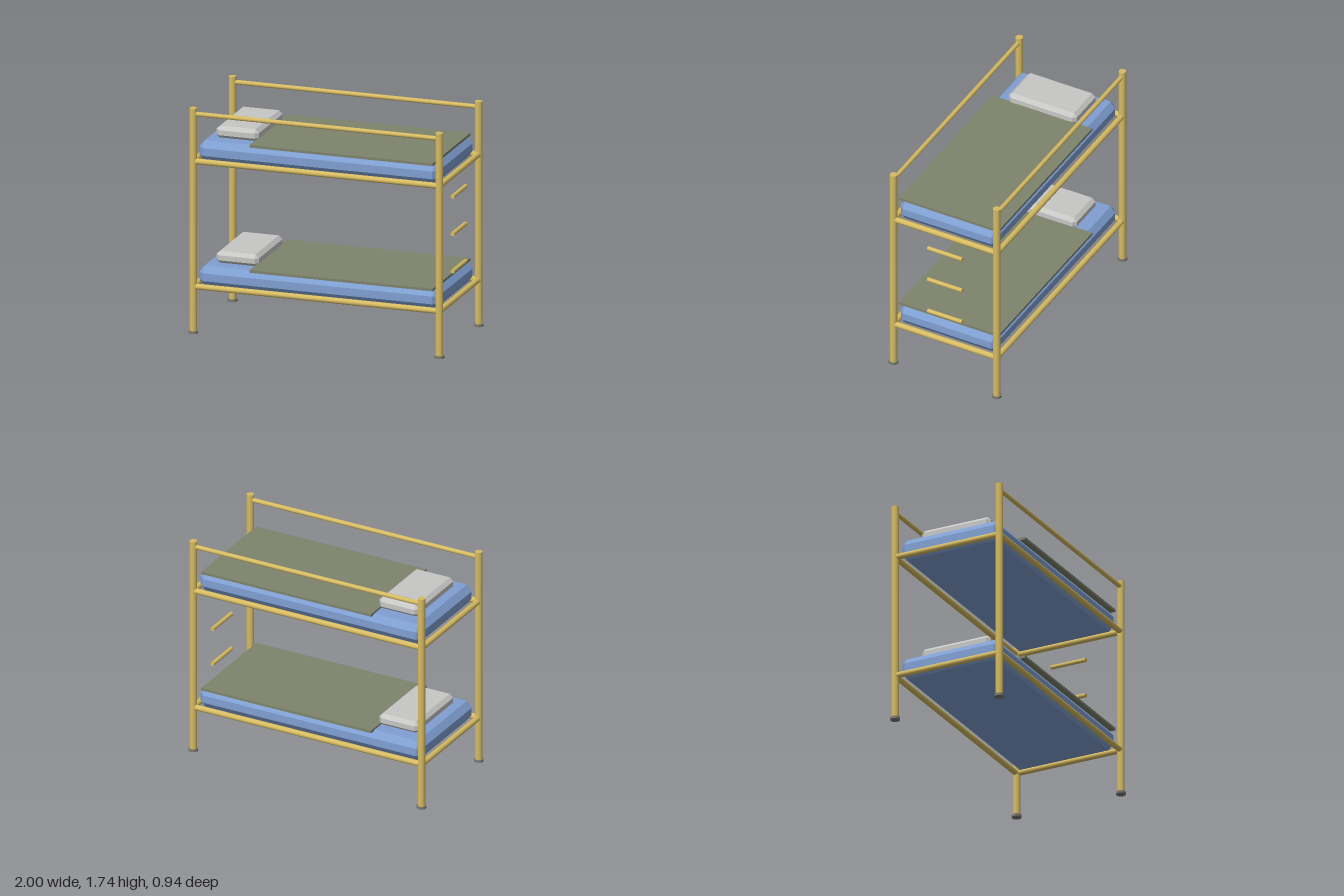
import * as THREE from 'three';
import { ConvexGeometry } from 'three/addons/geometries/ConvexGeometry.js';

const material = (name, color) => {
  const m = new THREE.MeshStandardMaterial({ color });
  m.name = name;
  return m;
};

// Box with every edge and corner cut; c holds the cut along each axis
function chamferedBox(size, c) {
  const h = size.map((s) => s / 2);
  const points = [];
  for (const sx of [-1, 1]) for (const sy of [-1, 1]) for (const sz of [-1, 1]) {
    for (let axis = 0; axis < 3; axis++) {
      const p = h.map((v, i) => (i === axis ? v : v - c[i]));
      points.push(new THREE.Vector3(sx * p[0], sy * p[1], sz * p[2]));
    }
  }
  return new ConvexGeometry(points);
}

export function createModel() {
  const model = new THREE.Group();
  model.name = 'bunkBed';

  const brass = material('brass', 0xd6bb62);
  const blue = material('mattressBlue', 0x7f9fd2);
  const olive = material('blanketOlive', 0x7e836d);
  const white = material('pillowGrey', 0xc6c6c5);
  const rubber = material('footGrey', 0x7a7b70);

  const X = 0.964, Z = 0.435;

  function add(name, geometry, mat, x, y, z, parent = model) {
    const mesh = new THREE.Mesh(geometry, mat);
    mesh.name = name;
    mesh.position.set(x, y, z);
    parent.add(mesh);
    return mesh;
  }

  // Round bar lying along x or z
  function bar(name, axis, radius, length, x, y, z, parent) {
    const mesh = add(name, new THREE.CylinderGeometry(radius, radius, length, 20), brass, x, y, z, parent);
    if (axis === 'x') mesh.rotation.z = Math.PI / 2;
    else mesh.rotation.x = Math.PI / 2;
  }

  // Corner posts and feet
  for (const sx of [-1, 1]) for (const sz of [-1, 1]) {
    add('post', new THREE.CylinderGeometry(0.028, 0.028, 1.72, 24), brass, sx * X, 0.875, sz * Z);
    add('foot', new THREE.CylinderGeometry(0.036, 0.036, 0.02, 24), rubber, sx * X, 0.01, sz * Z);
  }

  // Two bunks: frame rails, mattress, blanket and pillow
  for (const [name, y] of [['lowerBunk', 0.36], ['upperBunk', 1.325]]) {
    const bunk = new THREE.Group();
    bunk.name = name;
    bunk.position.y = y;
    model.add(bunk);
    for (const s of [-1, 1]) {
      bar('sideRail', 'x', 0.022, 2 * X, 0, 0, s * Z, bunk);
      bar('endRail', 'z', 0.022, 2 * Z, s * X, 0, 0, bunk);
    }
    add('mattress', chamferedBox([1.876, 0.16, 0.82], [0.04, 0.05, 0.038]), blue, 0, 0.068, 0, bunk);
    add('blanket', new THREE.BoxGeometry(1.435, 0.02, 0.84), olive, 0.188, 0.152, 0, bunk);
    add('pillow', chamferedBox([0.335, 0.093, 0.575], [0.028, 0.027, 0.028]), white, -0.678, 0.191, 0, bunk);
  }

  // Guard rails along the upper bunk
  for (const s of [-1, 1]) bar('guardRail', 'x', 0.017, 2 * X, 0, 1.69, s * Z);

  // Ladder rungs at the left end
  for (const y of [0.583, 0.872, 1.16]) bar('ladderRung', 'z', 0.016, 0.29, X, y, 0);

  return model;
}
